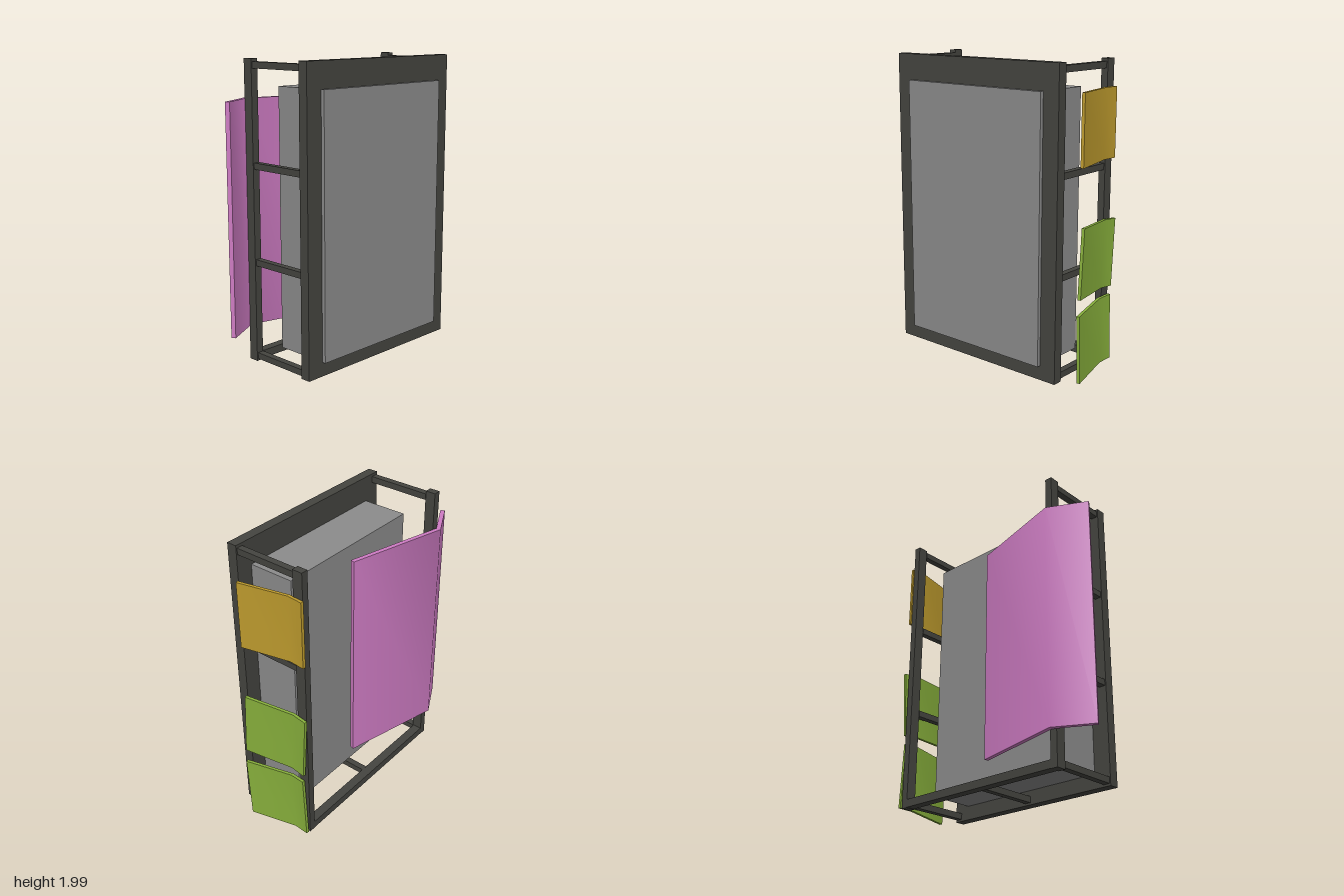
import * as THREE from 'three';
import { toCreasedNormals } from 'three/addons/utils/BufferGeometryUtils.js';

const mat = (name, color) => new THREE.MeshStandardMaterial({ name, color });

// Box given by its limits on each axis
function box(name, material, [x0, x1], [y0, y1], [z0, z1]) {
  const mesh = new THREE.Mesh(new THREE.BoxGeometry(x1 - x0, y1 - y0, z1 - z0), material);
  mesh.position.set((x0 + x1) / 2, (y0 + y1) / 2, (z0 + z1) / 2);
  mesh.name = name;
  return mesh;
}

// Upright bent sheet: a path of [x, z] points thickened and extruded along y, centred on y = 0
function bentSheet(name, material, path, thickness, height) {
  const pts = path.map(([x, z]) => new THREE.Vector2(x, -z));
  const normal = (a, b) => {
    const d = b.clone().sub(a).normalize();
    return new THREE.Vector2(-d.y, d.x);
  };
  const offsets = pts.map((p, i) => {
    const before = i > 0 ? normal(pts[i - 1], p) : normal(p, pts[1]);
    const after = i < pts.length - 1 ? normal(p, pts[i + 1]) : before;
    const mitre = before.clone().add(after).normalize();
    return mitre.multiplyScalar(thickness / 2 / mitre.dot(before));
  });
  const sideA = pts.map((p, i) => p.clone().add(offsets[i]));
  const sideB = pts.map((p, i) => p.clone().sub(offsets[i])).reverse();
  const geo = new THREE.ExtrudeGeometry(new THREE.Shape([...sideA, ...sideB]),
    { depth: height, bevelEnabled: false });
  geo.translate(0, 0, -height / 2);
  geo.rotateX(-Math.PI / 2);
  const mesh = new THREE.Mesh(toCreasedNormals(geo, Math.PI / 3), material);
  mesh.name = name;
  return mesh;
}

export function createModel() {
  const group = new THREE.Group();
  const frame = mat('dark frame', 0x454540);
  const grey = mat('grey core', 0x8c8c8c);
  const pink = mat('pink sheet', 0xcf7cc4);
  const yellow = mat('ochre sheet', 0xbf9c2e);
  const green = mat('green sheet', 0x88b03c);

  // Front board with the block pushed through it
  group.add(box('frontBoard', frame, [-0.605, 0.727], [0.015, 2], [0.22, 0.288]));
  group.add(box('coreBlock', grey, [-0.487, 0.613], [0.11, 1.83], [-0.09, 0.313]));

  // Rear posts and the rungs tying them to the board
  const sides = [['right', -0.605, -0.555, -0.597, -0.552], ['left', 0.68, 0.727, 0.675, 0.718]];
  for (const [side, p0, p1, r0, r1] of sides) {
    group.add(box(side + 'RearPost', frame, [p0, p1], [0.015, 2], [-0.278, -0.208]));
    [0.05, 0.69, 1.325, 1.96].forEach((y, i) =>
      group.add(box(side + 'Rung' + (i + 1), frame, [r0, r1], [y - 0.021, y + 0.021], [-0.21, 0.222])));
  }

  // Base bars
  group.add(box('rearBaseBar', frame, [-0.56, 0.685], [0.017, 0.07], [-0.278, -0.215]));
  group.add(box('middleBaseBar', frame, [0.04, 0.083], [0.029, 0.071], [-0.217, 0.222]));

  // Large folded sheet at the back
  const backSheet = bentSheet('backSheet', pink,
    [[-0.828, -0.173], [-0.583, -0.303], [0.1, -0.132]], 0.03, 1.505);
  backSheet.position.y = 0.9975;
  group.add(backSheet);

  // Small folded sheets on the left side: [name, material, x, y, z, tilt]
  const flaps = [
    ['upperFlap', yellow, 0, 1.6, -0.065, 0],
    ['middleFlap', green, 0.012, 0.77, -0.06, -0.062],
    ['lowerFlap', green, 0.012, 0.24, -0.048, 0.046],
  ];
  for (const [name, material, x, y, z, tilt] of flaps) {
    const flap = bentSheet(name, material,
      [[0.74, -0.22], [0.731, -0.115], [0.805, 0.217]], 0.02, 0.45);
    flap.position.set(x, y, z);
    flap.rotation.x = tilt;
    group.add(flap);
  }

  return group;
}
